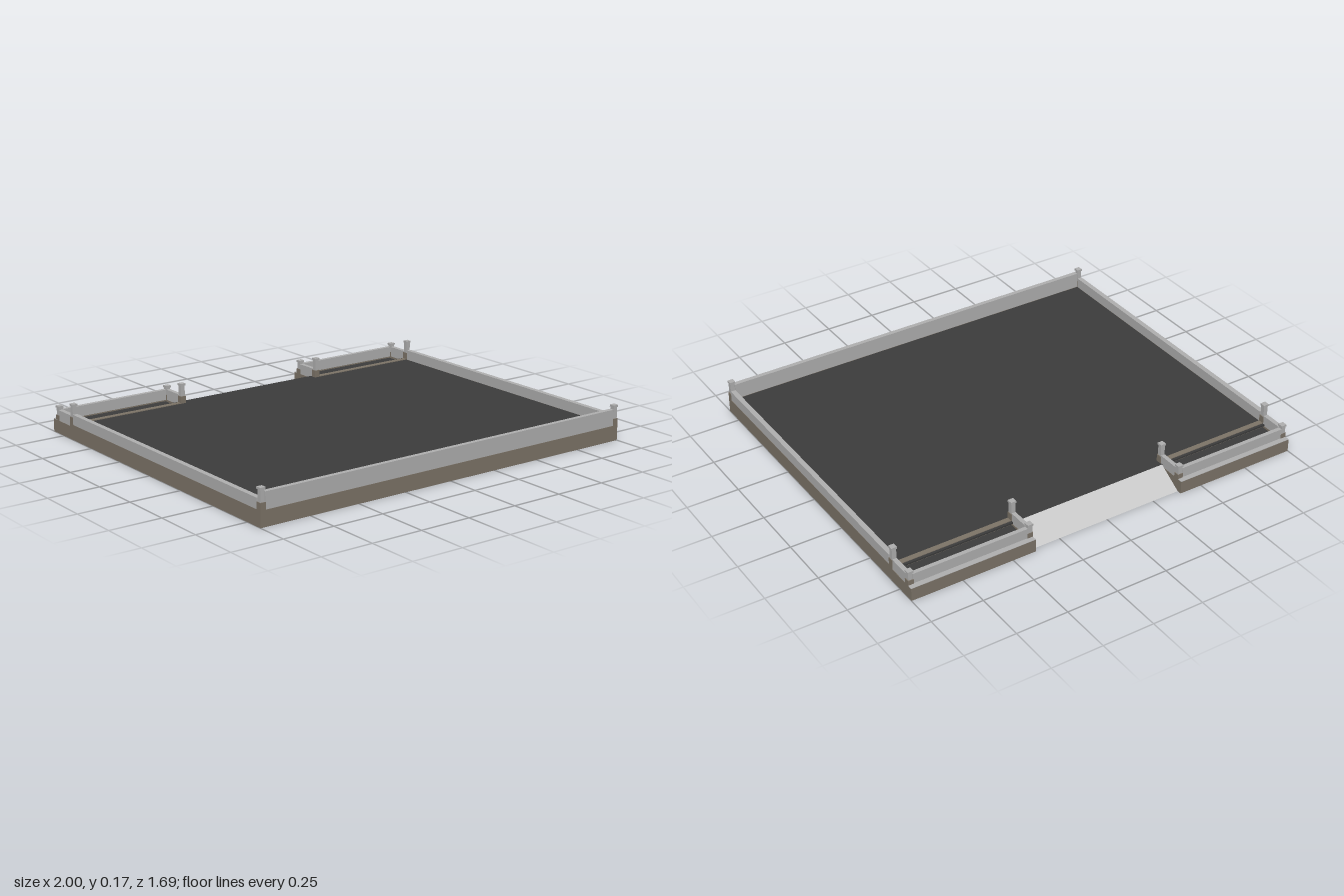
import * as THREE from 'three';

const mat = (name, color, side = THREE.FrontSide) => {
  const m = new THREE.MeshStandardMaterial({ color, side });
  m.name = name;
  return m;
};

export function createModel() {
  const root = new THREE.Group();
  root.name = 'terrace';
  const stone = mat('brown stone', 0x7d7468);
  const concrete = mat('grey concrete', 0xb0b0b0);
  const rampGrey = mat('light ramp grey', 0xc8c8c8, THREE.DoubleSide);
  const paving = mat('dark paving', 0x3c3c3c);

  // Box given by its minimum and maximum on each axis
  const block = (name, material, x0, x1, y0, y1, z0, z1, parent = root) => {
    const m = new THREE.Mesh(new THREE.BoxGeometry(x1 - x0, y1 - y0, z1 - z0), material);
    m.position.set((x0 + x1) / 2, (y0 + y1) / 2, (z0 + z1) / 2);
    m.name = name;
    parent.add(m);
  };

  // Post with a stone plinth, a slightly inset shaft and a flat cap
  const post = (name, x, z, y0, plinthTop, top) => {
    const g = new THREE.Group();
    g.name = name;
    const part = (n, m, r, a, b) => block(n, m, x - r, x + r, a, b, z - r, z + r, g);
    part('plinth', stone, 0.0135, y0, plinthTop);
    part('shaft', concrete, 0.0105, plinthTop, top - 0.01);
    part('cap', concrete, 0.0135, top - 0.01, top);
    root.add(g);
  };

  const H = 0.073;   // main wall top
  const L = 0.062;   // planter wall top
  const D = 0.843;   // half depth
  const T = 0.026;   // wall thickness
  const IN = 0.386;  // inner edge of the planters

  // Main floor, front wall and front parapet
  block('floor', paving, -1 + T, 1 - T, H - 0.008, H, -0.70, D - T);
  block('frontWall', stone, -1, 1, 0, H, D - T, D);
  block('frontParapet', concrete, -0.974, 0.974, H, 0.15, D - T + 0.002, D - 0.002);

  for (const s of [-1, 1]) {
    const side = s > 0 ? 'left' : 'right';
    const mirrored = (name, m, x0, x1, ...rest) =>
      block(side + name, m, Math.min(s * x0, s * x1), Math.max(s * x0, s * x1), ...rest);

    // Long side wall with its lower parapet
    mirrored('SideWall', stone, 1 - T, 1, 0, H, -0.688, D - T);
    mirrored('SideParapet', concrete, 0.975, 0.999, H, 0.122, -0.661, D - T);

    // Sunken planter behind the floor
    mirrored('PlanterFrontWall', stone, IN, 1 - T, 0, H + 0.003, -0.688, -0.662);
    mirrored('PlanterSideWall', stone, 1 - T, 1, 0, L, -D, -0.688);
    mirrored('PlanterInnerWall', stone, IN, IN + 0.024, 0, L, -D, -0.688);
    mirrored('PlanterBackWall', stone, IN + 0.024, 1 - T, 0, L, -D, -0.806);
    mirrored('PlanterBed', paving, IN + 0.024, 1 - T, 0.045, 0.053, -0.806, -0.688);
    mirrored('PlanterLedge', concrete, IN, 1, L, L + 0.002, -D, -0.806);

    // Planter rails
    mirrored('PlanterBackRail', concrete, 0.41, 0.975, L, 0.113, -0.817, -0.797);
    mirrored('PlanterSideRail', concrete, 0.976, 0.998, L, 0.113, -0.795, -0.688);
    mirrored('PlanterInnerRail', concrete, IN + 0.002, IN + 0.022, L, 0.113, -0.795, -0.688);

    // Posts
    post(side + 'FrontPost', s * 0.9865, D - 0.0135, H, 0.106, 0.17);
    post(side + 'MiddlePost', s * 0.9865, -0.675, H, 0.108, 0.17);
    post(side + 'InnerPost', s * 0.398, -0.675, 0.05, 0.108, 0.17);
    post(side + 'BackPost', s * 0.9865, -0.806, L, 0.087, 0.131);
    post(side + 'InnerBackPost', s * 0.398, -0.806, L, 0.087, 0.131);
  }

  // Entrance ramp sloping down to the ground between the planters
  const run = 0.122;
  const ramp = new THREE.Mesh(new THREE.PlaneGeometry(2 * IN, Math.hypot(run, H)), rampGrey);
  ramp.rotation.x = -Math.PI / 2 - Math.atan2(H, run);
  ramp.position.set(0, H / 2, -0.70 - run / 2);
  ramp.name = 'ramp';
  root.add(ramp);

  return root;
}
